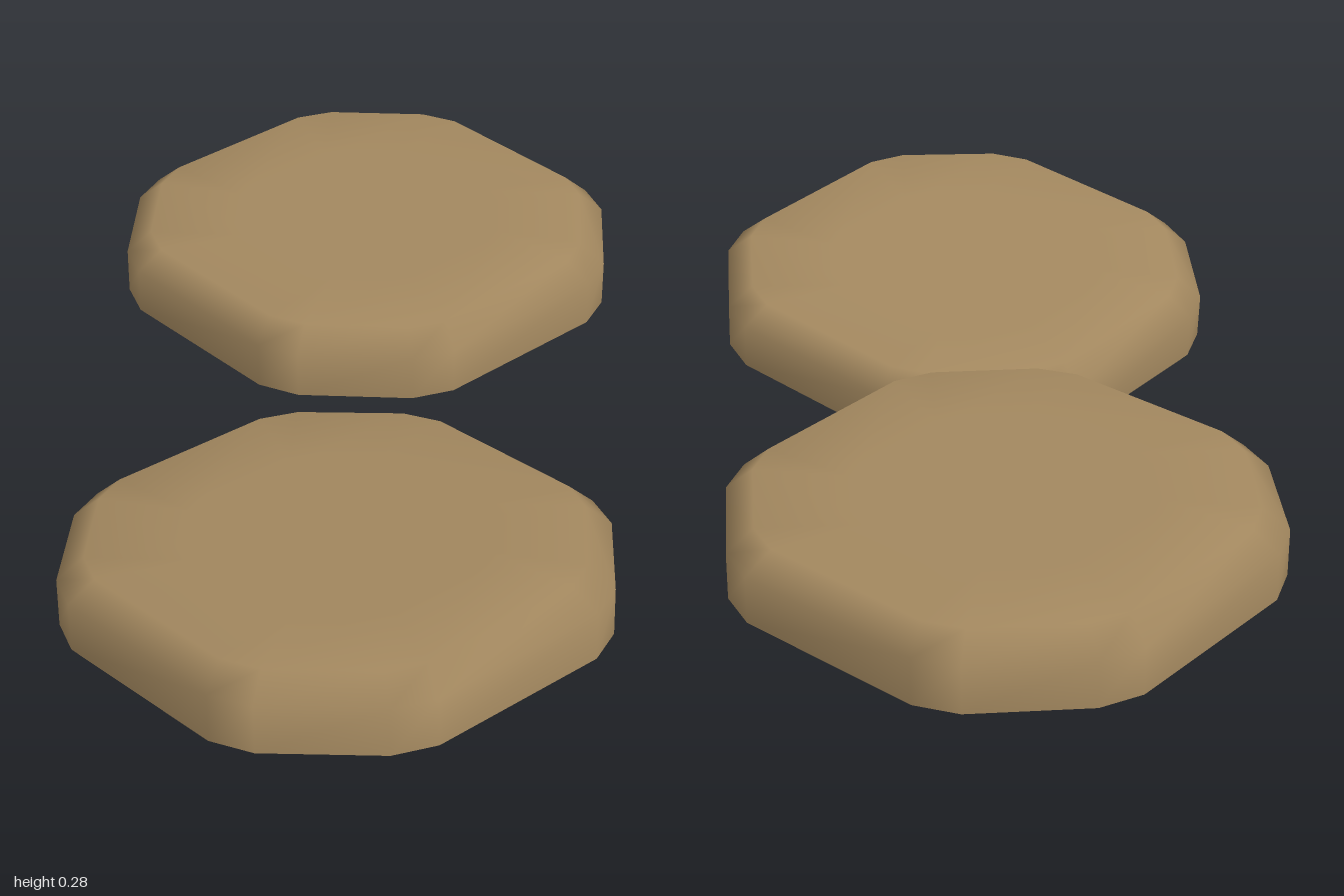
import * as THREE from 'three';

const stone = new THREE.MeshStandardMaterial({ color: 0xa3885f, side: THREE.DoubleSide });
stone.name = 'warm stone';

// Octagonal outline with clipped corners, one quarter repeated four times
function outline() {
  const quarter = [[0.55, 0.225], [0.51, 0.32], [0.32, 0.51], [0.225, 0.55]];
  const points = [];
  for (let q = 0; q < 4; q++) {
    const angle = q * Math.PI / 2;
    for (const [x, z] of quarter) {
      points.push([
        x * Math.cos(angle) - z * Math.sin(angle),
        x * Math.sin(angle) + z * Math.cos(angle),
      ]);
    }
  }
  return points;
}

// Smooth shell, open underneath: wall, bevelled rim and flat top
function slabGeometry() {
  const ring = outline();
  const n = ring.length;
  const sections = [[1, 0], [1, 0.11], [0.9, 0.16], [0.55, 0.16]]; // scale, height
  const positions = [];
  const index = [];
  for (const [scale, y] of sections) {
    for (const [x, z] of ring) positions.push(x * scale, y, z * scale);
  }
  positions.push(0, 0.16, 0);
  const centre = sections.length * n;
  for (let i = 0; i < n; i++) {
    const j = (i + 1) % n;
    for (let s = 0; s < sections.length - 1; s++) {
      const a = s * n + i, b = s * n + j;
      index.push(a, a + n, b, b, a + n, b + n);
    }
    const last = (sections.length - 1) * n;
    index.push(last + i, centre, last + j);
  }
  const geometry = new THREE.BufferGeometry();
  geometry.setAttribute('position', new THREE.Float32BufferAttribute(positions, 3));
  geometry.setIndex(index);
  geometry.computeVertexNormals();
  return geometry;
}

export function createModel() {
  const group = new THREE.Group();
  group.name = 'steppingStones';
  const geometry = slabGeometry();

  // Level slab at the back
  const backSlab = new THREE.Mesh(geometry, stone);
  backSlab.name = 'backSlab';
  backSlab.position.set(-0.45, 0.12, -0.45);

  // Sunken slab at the front, tipped towards the middle
  const frontSlab = new THREE.Mesh(geometry, stone);
  frontSlab.name = 'frontSlab';
  frontSlab.position.set(0.447, 0.06, 0.447);
  frontSlab.rotation.set(-0.055, 0, 0.08);

  group.add(backSlab, frontSlab);
  return group;
}
